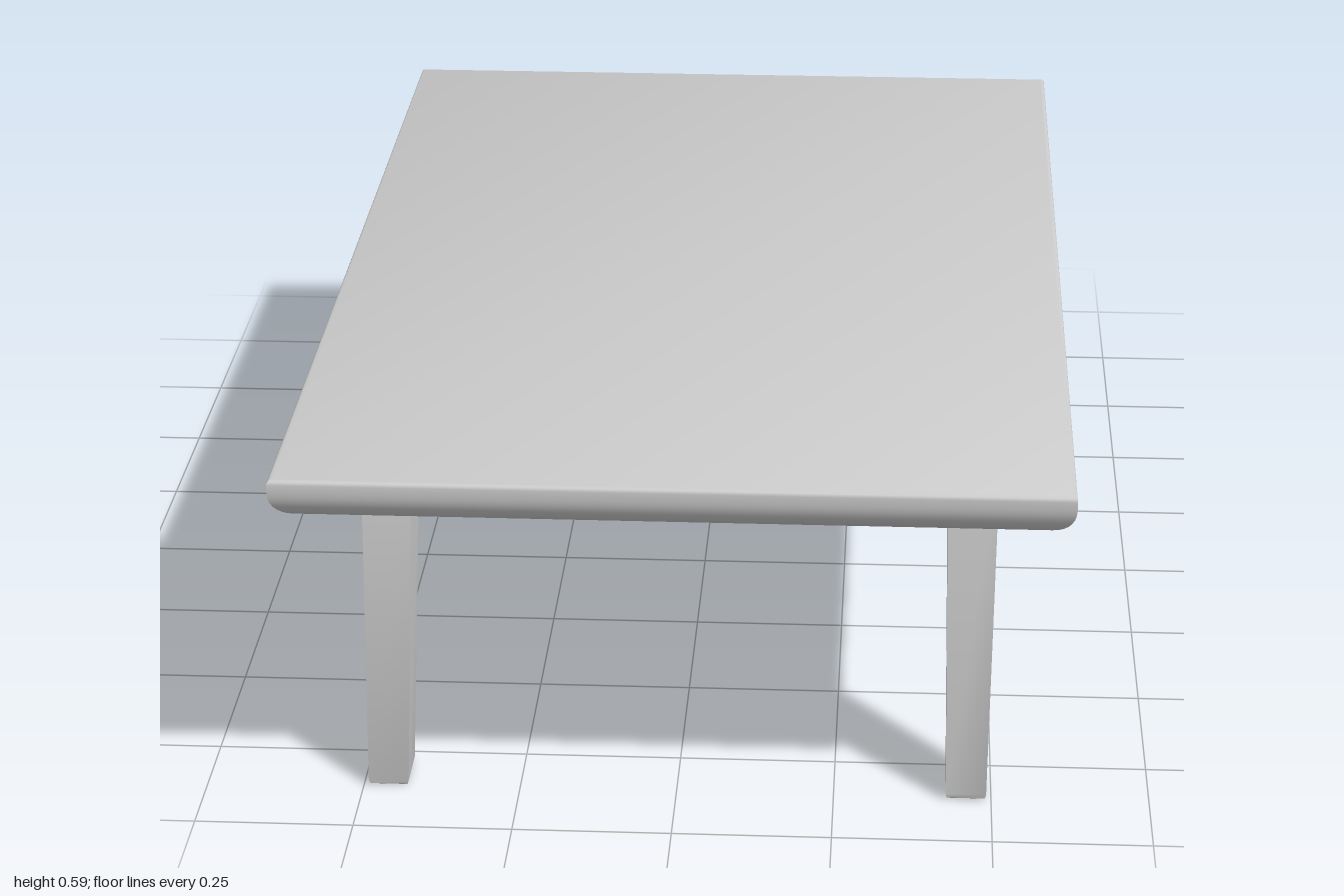
import * as THREE from 'three';
import { toCreasedNormals } from 'three/addons/utils/BufferGeometryUtils.js';

const material = new THREE.MeshStandardMaterial({ color: 0xcccccc });

// Skins a stack of level rectangles [y, xMin, xMax, zMin, zMax], bottom to top.
function loft(rings) {
  const corners = rings.map(([y, x0, x1, z0, z1]) => [[x0, y, z1], [x1, y, z1], [x1, y, z0], [x0, y, z0]]);
  const points = [];
  const quad = (a, b, c, d) => points.push(...a, ...b, ...c, ...a, ...c, ...d);
  for (let i = 0; i < corners.length - 1; i++) {
    const low = corners[i], high = corners[i + 1];
    for (let k = 0; k < 4; k++) {
      const n = (k + 1) % 4;
      quad(low[k], low[n], high[n], high[k]);
    }
  }
  const [a, b, c, d] = corners[0];
  quad(d, c, b, a);
  quad(...corners[corners.length - 1]);
  const geometry = new THREE.BufferGeometry();
  geometry.setAttribute('position', new THREE.Float32BufferAttribute(points, 3));
  return toCreasedNormals(geometry, 0.6);
}

function addMesh(parent, name, geometry) {
  const mesh = new THREE.Mesh(geometry, material);
  mesh.name = name;
  parent.add(mesh);
  return mesh;
}

export function createModel() {
  const table = new THREE.Group();
  table.name = 'lowTable';

  // Top: square mitred corners, edge rounded under in a quarter ellipse
  const halfX = 0.612, halfZ = 1;
  const topRing = (y, inset) => [y, inset - halfX, halfX - inset, inset - halfZ, halfZ - inset];
  const rings = [];
  for (let i = 0; i <= 10; i++) {
    const t = (i / 10) * Math.PI / 2;
    rings.push(topRing(0.568 - 0.055 * Math.cos(t), 0.065 * (1 - Math.sin(t))));
  }
  for (let i = 0; i <= 4; i++) {
    const t = (i / 4) * Math.PI / 2;
    rings.push(topRing(0.581 + 0.007 * Math.sin(t), 0.007 * (1 - Math.cos(t))));
  }
  addMesh(table, 'tableTop', loft(rings));

  // Legs: tapered, splayed toward the ends, with eased feet
  const legSections = [
    [0, 0.434, 0.486, 0.793, 0.861],
    [0.003, 0.43, 0.49, 0.789, 0.866],
    [0.01, 0.428, 0.492, 0.786, 0.868],
    [0.515, 0.42, 0.5, 0.665, 0.775],
  ];
  for (const sx of [1, -1]) {
    for (const sz of [1, -1]) {
      const leg = legSections.map(([y, x0, x1, z0, z1]) => [
        y,
        ...(sx > 0 ? [x0, x1] : [-x1, -x0]),
        ...(sz > 0 ? [z0, z1] : [-z1, -z0]),
      ]);
      addMesh(table, (sz > 0 ? 'front' : 'back') + (sx > 0 ? 'Left' : 'Right') + 'Leg', loft(leg));
    }
  }

  // Apron rails between the legs
  const railY = 0.4675, railHeight = 0.095, railThickness = 0.04;
  for (const s of [1, -1]) {
    addMesh(table, s > 0 ? 'leftRail' : 'rightRail', new THREE.BoxGeometry(railThickness, railHeight, 1.39))
      .position.set(s * 0.457, railY, 0);
    addMesh(table, s > 0 ? 'frontRail' : 'backRail', new THREE.BoxGeometry(0.86, railHeight, railThickness))
      .position.set(0, railY, s * 0.715);
  }

  return table;
}
